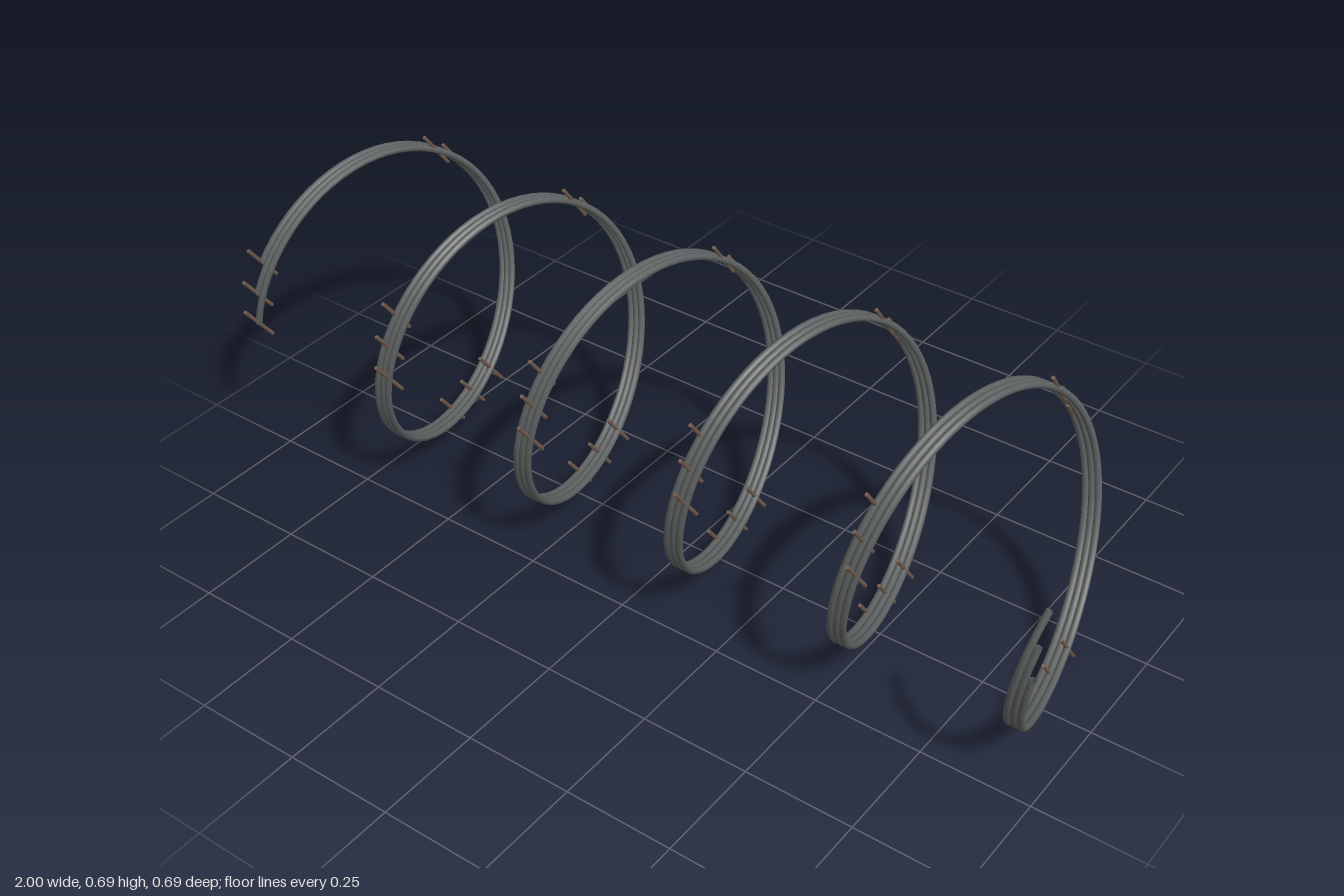
import * as THREE from 'three';

const TURNS = 5, START = -0.992, PITCH = 0.397;
const RADIUS = 0.318, CY = 0.3745, CZ = -0.018;
const WIRE_R = 0.0078, BARB_R = 0.0045, BARB_LENGTH = 0.12;
const BARB_STEP = 120.75 / 360; // turns between barbs

// One strand of the coil, wound around the x axis
class CoilCurve extends THREE.Curve {
  constructor(phase) {
    super();
    this.phase = phase;
  }
  getPoint(t, target = new THREE.Vector3()) {
    const a = this.phase + t * TURNS * Math.PI * 2;
    return target.set(
      START + t * TURNS * PITCH,
      CY + RADIUS * Math.sin(a),
      CZ + RADIUS * Math.cos(a)
    );
  }
}

export function createModel() {
  const group = new THREE.Group();
  group.name = 'barbedWireCoil';

  const steel = new THREE.MeshStandardMaterial({ color: 0x5f6262, side: THREE.DoubleSide });
  steel.name = 'grey steel';
  const rust = new THREE.MeshStandardMaterial({ color: 0x735c4f });
  rust.name = 'rusty brown';

  // All barbs share one slant in the y-z plane
  const barbGeometry = new THREE.CylinderGeometry(BARB_R, BARB_R, BARB_LENGTH, 6);
  barbGeometry.rotateX(Math.atan2(0.6, 0.8));

  for (let s = 0; s < 3; s++) {
    const strand = new THREE.Group();
    strand.name = `strand${s + 1}`;
    const curve = new CoilCurve(s * 0.235);

    const wire = new THREE.Mesh(new THREE.TubeGeometry(curve, 320, WIRE_R, 8), steel);
    wire.name = 'wire';
    strand.add(wire);

    // Barbs about three to a turn, creeping slowly round the coil
    for (let i = 0; i < 15; i++) {
      const barb = new THREE.Mesh(barbGeometry, rust);
      barb.name = 'barb';
      barb.position.copy(curve.getPoint((i * BARB_STEP) / TURNS));
      strand.add(barb);
    }
    group.add(strand);
  }
  return group;
}
